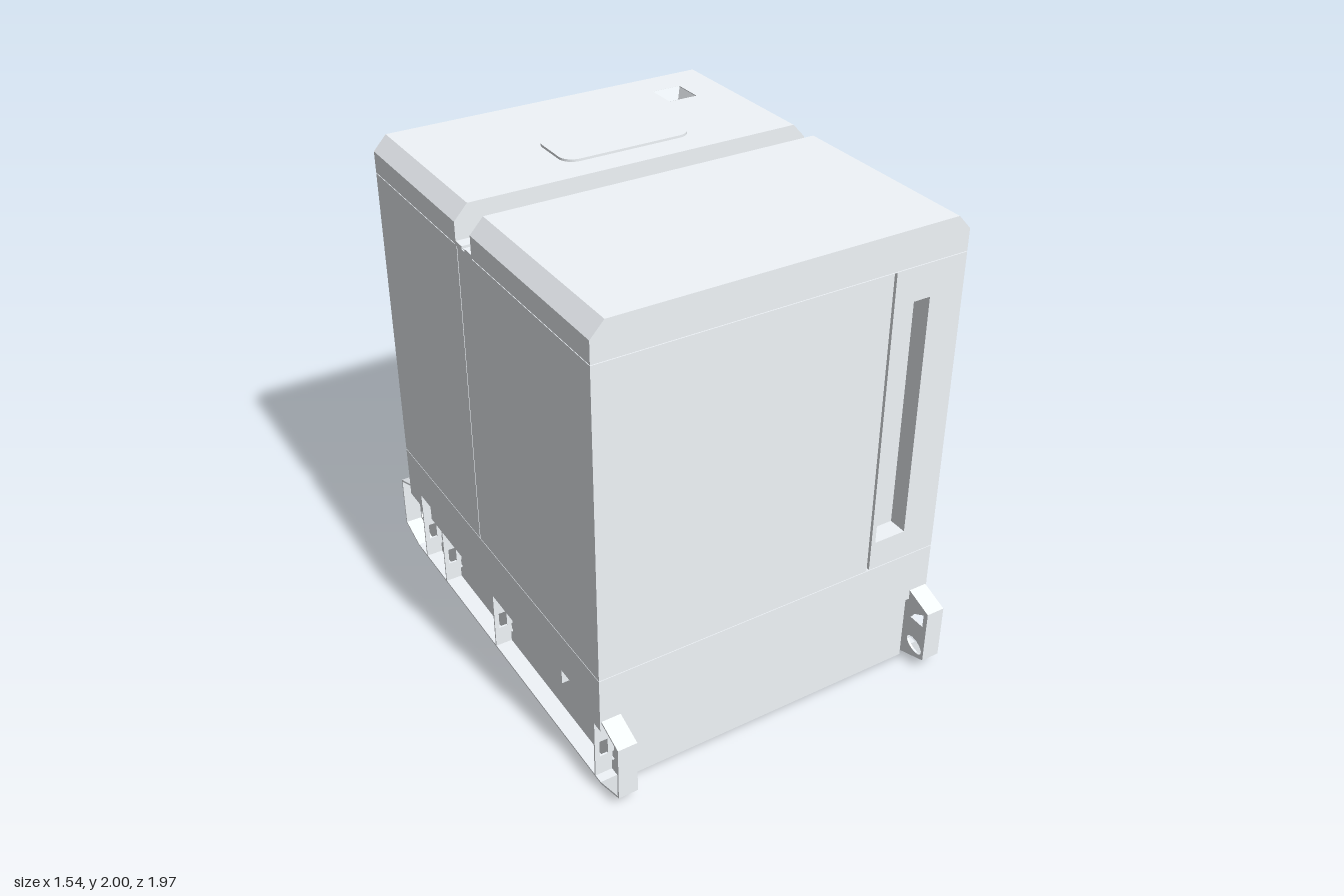
import * as THREE from 'three';

const mat = new THREE.MeshStandardMaterial({ color: 0xf1f6fa, side: THREE.DoubleSide });
const HW = 0.7625, HZ = 0.865;            // half width and half depth of the cabinet
const LOW = 0.533, HIGH = 1.839;          // wall panels

const poly = pts => new THREE.Shape(pts.map(p => new THREE.Vector2(...p)));

// Rectangle, optionally with rounded corners
function rect(x0, y0, x1, y1, r = 0) {
  if (!r) return poly([[x0, y0], [x1, y0], [x1, y1], [x0, y1]]);
  const s = new THREE.Shape();
  s.absarc(x1 - r, y1 - r, r, 0, Math.PI / 2);
  s.absarc(x0 + r, y1 - r, r, Math.PI / 2, Math.PI);
  s.absarc(x0 + r, y0 + r, r, Math.PI, Math.PI * 1.5);
  s.absarc(x1 - r, y0 + r, r, Math.PI * 1.5, Math.PI * 2);
  s.closePath();
  return s;
}

function cut(shape, ...holes) {
  shape.holes.push(...holes);
  return shape;
}

const extrude = (shape, depth) =>
  new THREE.ExtrudeGeometry(shape, { depth, bevelEnabled: false, curveSegments: 6 });

// Open four-sided funnel along y, given its half widths
const funnel = (top, bottom, h) => {
  const g = new THREE.CylinderGeometry(top * Math.SQRT2, bottom * Math.SQRT2, h, 4, 1, true)
    .toNonIndexed().rotateY(Math.PI / 4);
  g.computeVertexNormals();
  return g;
};

export function createModel() {
  const model = new THREE.Group();
  model.name = 'generatorCabinet';

  function add(name, geo, parent = model) {
    const m = new THREE.Mesh(geo, mat);
    m.name = name;
    parent.add(m);
  }
  const box = (name, x0, x1, y0, y1, z0, z1) =>
    add(name, new THREE.BoxGeometry(x1 - x0, y1 - y0, z1 - z0)
      .translate((x0 + x1) / 2, (y0 + y1) / 2, (z0 + z1) / 2));
  // Shape in (x, y), swept from z0 to z1
  const alongZ = (name, shape, z0, z1) => add(name, extrude(shape, z1 - z0).translate(0, 0, z0));
  // Shape in (-z, y), swept from x0 to x1
  const alongX = (name, shape, x0, x1) =>
    add(name, extrude(shape, x1 - x0).rotateY(Math.PI / 2).translate(x0, 0, 0));
  // Shape in (x, -z), swept from y0 to y1
  const alongY = (name, shape, y0, y1) =>
    add(name, extrude(shape, y1 - y0).rotateX(-Math.PI / 2).translate(0, y0, 0));

  // Base and skirt with lifting tunnels
  box('base', -0.66, 0.66, 0, 0.29, -HZ, HZ);
  alongX('skirt', poly([
    [-HZ, 0.29], [-0.78, 0.29], [-0.78, 0.355], [-0.57, 0.355], [-0.57, 0.29],
    [0.64, 0.29], [0.64, 0.355], [0.74, 0.355], [0.74, 0.29], [HZ, 0.29],
    [HZ, 0.53], [-HZ, 0.53]]), -HW, HW);
  // Core backs the wall panels and fills the seams to just below the surface
  box('core', -0.6425, 0.6425, 0.52, 1.842, -0.785, 0.785);
  for (const [y0, y1] of [[0.525, 0.535], [1.837, 1.845]])
    alongY('seamFiller', cut(rect(-HW + 0.004, -HZ + 0.004, HW - 0.004, HZ - 0.004),
      rect(-0.64, -0.78, 0.64, 0.78)), y0, y1);

  // Front wall with door seam and tall recessed handle
  alongZ('frontPanel', cut(rect(-HW, LOW, HW, HIGH),
    rect(0.437, LOW + 0.001, 0.449, HIGH - 0.001),
    rect(0.468, 0.66, 0.61, 1.7)), 0.785, HZ);

  // Back wall with five sloping louvres
  const vents = [0, 1, 2, 3, 4].map(i => 1.59 - i * 0.179);
  alongZ('backPanel', cut(rect(-HW, LOW, HW, HIGH),
    ...vents.map(y => rect(-0.43, y, 0.43, y + 0.07))), -HZ, -0.785);
  for (const y of vents)
    alongX('louvre', poly([[HZ, y], [0.815, y + 0.07], [0.815, y]]), -0.43, 0.43);

  // Left wall in two panels
  box('leftFrontPanel', -HW, -0.6425, LOW, HIGH, -0.109, 0.785);
  box('leftRearPanel', -HW, -0.6425, LOW, HIGH, -0.785, -0.114);

  // Right wall: seams, door outline, corner marks, latches, control recess
  const marks = [];
  for (const [u, su] of [[-0.675, 1], [-0.375, -1]])
    for (const [v, sv] of [[1.61, -1], [1.36, 1]])
      marks.push(poly([[u, v], [u + 0.034 * su, v], [u, v + 0.034 * sv]]));
  const latches = [[-0.63, 1.235, true], [0.33, 1.245, false]];
  alongX('rightPanel', cut(rect(-0.785, LOW, 0.785, HIGH),
    rect(-0.011, LOW + 0.001, -0.006, HIGH - 0.001),
    rect(0.12, LOW + 0.001, 0.125, HIGH - 0.001),
    poly([[-0.75, 1.667], [-0.318, 1.667], [-0.318, 0.76], [-0.322, 0.76], [-0.322, 1.663], [-0.75, 1.663]]),
    rect(-0.235, 0.77, -0.065, 1.07),
    ...latches.map(([u, v]) => rect(u - 0.07, v - 0.065, u + 0.07, v + 0.065, 0.015)),
    ...marks), 0.6425, HW);
  // Shallow backing behind the corner marks
  box('markBacking', 0.70, 0.752, 1.34, 1.63, 0.36, 0.69);

  for (const [u, v, split] of latches) {
    alongX('latchFrame', cut(rect(u - 0.097, v - 0.088, u + 0.097, v + 0.088, 0.025),
      rect(u - 0.07, v - 0.065, u + 0.07, v + 0.065, 0.015)), HW - 0.01, 0.7775);
    box('latchPlate', 0.70, 0.745, v - 0.068, v + 0.068, -u - 0.073, -u + 0.073);
    if (split) box('latchPaddle', 0.735, 0.757, v - 0.065, v + 0.065, -u - 0.068, -u - 0.012);
  }

  // Control recess: sloping hood above a tilted console
  alongZ('controlHood', poly([[HW, 1.07], [0.6425, 1.07], [0.6425, 0.955]]), 0.065, 0.235);
  alongZ('controlConsole', poly([[HW, 0.77], [0.6425, 0.955], [0.6425, 0.77]]), 0.065, 0.235);
  const socket = new THREE.Group();
  socket.name = 'controlSocket';
  socket.position.set(0.7065, 0.856, 0.15);
  socket.rotation.z = 0.575;
  model.add(socket);
  // Funnel collar around a tapered key
  add('socketCollar', funnel(0.045, 0.062, 0.02).rotateZ(-Math.PI / 2).translate(0.01, 0, 0), socket);
  add('socketKey', new THREE.CylinderGeometry(0.02, 0.05, 0.012, 4).rotateY(Math.PI / 4)
    .rotateZ(-Math.PI / 2).translate(0.006, 0, 0), socket);

  // Roof in two chamfered halves with a drain channel between
  const E = 0.7075, T = 1.99;
  alongZ('frontRoof', poly([[-HW, 1.842], [HW, 1.842], [HW, 1.93], [E, T], [-E, T], [-HW, 1.93]]), 0.01, HZ);
  alongZ('rearRoof', poly([[-HW, 1.842], [HW, 1.842], [HW, 1.93], [E, T], [E, 1.925],
    [-E, 1.925], [-E, T], [-HW, 1.93]]), -HZ, -0.12);
  alongY('rearRoofTop', cut(rect(-E, 0.12, E, HZ), rect(0.4225, 0.59, 0.5525, 0.725)), 1.925, T);
  add('roofPocket', funnel(0.0665, 0.043, 0.06).translate(0.4875, 1.96, -0.6575));
  alongY('roofHatch', rect(-0.2475, 0.24, 0.3125, 0.49, 0.06), 1.985, 2.0);
  box('channelFloor', -HW, HW, 1.839, 1.843, -0.125, 0.015);
  box('channelFrontLip', -HW, HW, 1.84, 1.855, -0.045, 0.01);
  box('channelRearLip', -HW, HW, 1.84, 1.855, -0.12, -0.07);

  // Skid rails: pierced web, folded flange, ribs
  const ribs = [0.805, -0.045, -0.545, -0.755];
  const X0 = 0.6825, X1 = 0.7575;
  const mirrored = (pts, s) => pts.map(([u, v]) => [u * s, v]);
  const half = [[0.866, 0.335], [0.985, 0.29], [0.985, 0.05], [0.85, 0.003]];
  const inner = [[0.866, 0.326], [0.977, 0.284], [0.977, 0.056], [0.848, 0.011]];
  const loop = h => [...h, ...mirrored(h, -1).reverse()];
  for (const s of [1, -1]) {
    const span = (name, shape, a, b) => s > 0 ? alongX(name, shape, a, b) : alongX(name, shape, -b, -a);
    const holes = ribs.map(z => rect(-z - 0.023, 0.06, -z + 0.023, 0.21, 0.02));
    for (const e of [1, -1]) {
      holes.push(poly(mirrored([[0.962, 0.272], [0.962, 0.212], [0.888, 0.212], [0.905, 0.24]], e)));
      const oval = new THREE.Path();
      oval.absellipse(0.927 * e, 0.09, 0.048, 0.03, 0, Math.PI * 2, false, -0.35 * e);
      holes.push(oval);
    }
    span('railWeb', cut(poly([...loop(half), [-0.866, 0.29], [0.866, 0.29]]), ...holes), X0 - 0.006, X0 + 0.004);
    span('railFlange', poly([...loop(half), ...loop(inner).reverse()]), X0, X1);
    for (const z of ribs) {
      const a = s > 0 ? X0 : -X1;
      alongZ('railRib', cut(rect(a, 0.005, a + 0.075, 0.29),
        rect(a + 0.02, 0.1, a + 0.055, 0.175)), z - 0.004, z + 0.004);
      const b = s > 0 ? 0.655 : -X0;
      box('railTie', b, b + 0.0275, 0.1, 0.175, z - 0.004, z + 0.004);
    }
  }

  model.position.x = -0.0075;
  return model;
}
